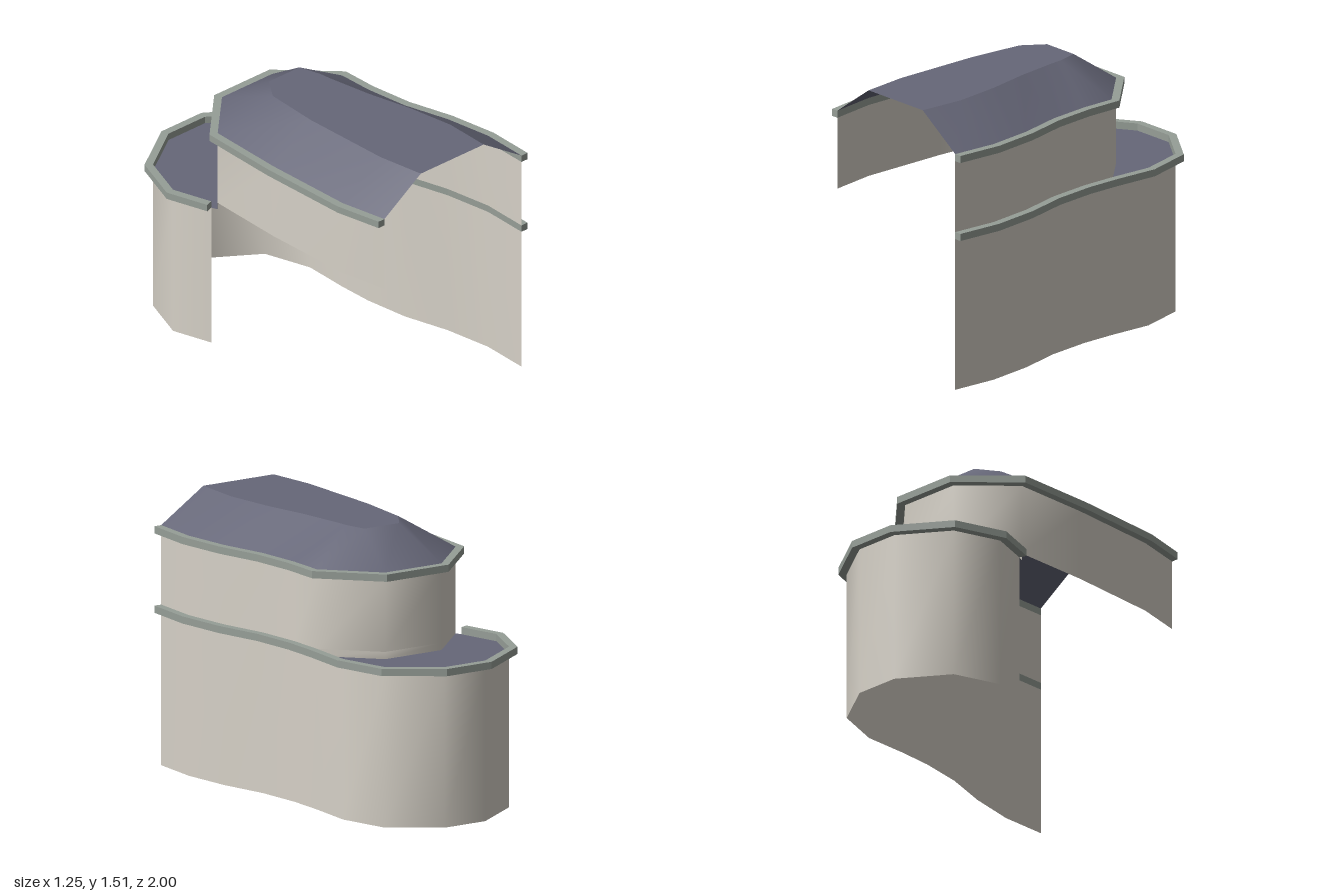
import * as THREE from 'three';

const wallMat = new THREE.MeshStandardMaterial({ color: 0xd6d1c7, side: THREE.DoubleSide });
const roofMat = new THREE.MeshStandardMaterial({ color: 0x666778, side: THREE.DoubleSide });
const trimMat = new THREE.MeshStandardMaterial({ color: 0x969e97 });

// Plan outlines as [x, z], running from the front of the +x side round the back
const side = [[0.58, 1], [0.58, 0.73], [0.53, 0.46], [0.45, 0.2], [0.41, -0.05]];
const upperBack = [[0.4, -0.25], [0.13, -0.51], [-0.23, -0.51], [-0.49, -0.25]];
const upperLeft = [[-0.49, 0.2], [-0.46, 0.73], [-0.4, 1]];
const upper = [...side, ...upperBack, ...upperLeft];
const lowerBack = [[0.4, -0.25], [0.4, -0.51], [0.31, -0.775], [0.04, -0.955],
  [-0.22, -0.955], [-0.49, -0.775], [-0.58, -0.51], [-0.505, -0.285]];
const lower = [...side, ...lowerBack];
const plateau = [[0.31, 1], [0.31, 0.73], [0.26, 0.46], [0.19, 0.2], [0.14, -0.05],
  [0.13, -0.12], [0.09, -0.245], [-0.13, -0.245], [-0.21, -0.12], [-0.22, 0.2], [-0.19, 0.73], [-0.14, 1]];

const lift = (path, y) => path.map(([x, z]) => [x, y, z]);

function geometry(points, index) {
  const g = new THREE.BufferGeometry();
  g.setAttribute('position', new THREE.Float32BufferAttribute(points.flat(), 3));
  g.setIndex(index);
  return g;
}

// Smooth ribbon between two rows of points
function ribbon(lo, hi) {
  const n = lo.length, index = [];
  for (let i = 0; i < n - 1; i++) {
    index.push(i, i + 1, n + i + 1, i, n + i + 1, n + i);
  }
  const g = geometry([...lo, ...hi], index);
  g.computeVertexNormals();
  return g;
}

// Mitred outward offset of an open path, cut flush at the front
function offset(path, w) {
  const normals = path.slice(1).map(([x, z], i) => {
    const d = new THREE.Vector2(x - path[i][0], z - path[i][1]).normalize();
    return new THREE.Vector2(-d.y, d.x);
  });
  return path.map(([x, z], i) => {
    const a = normals[Math.max(i - 1, 0)], b = normals[Math.min(i, normals.length - 1)];
    const m = a.clone().add(b).multiplyScalar(w / (1 + a.dot(b)));
    return [x + m.x, Math.min(1, z + m.y)];
  });
}

// Square-edged moulding following a path
function moulding(path, y0, y1) {
  const out = offset(path, 0.043), n = path.length;
  const rows = [lift(out, y0), lift(out, y1), lift(path, y1), lift(path, y0)];
  const index = [];
  for (let r = 0; r < 4; r++) {
    const a = r * n, b = ((r + 1) % 4) * n;
    for (let i = 0; i < n - 1; i++) index.push(a + i, a + i + 1, b + i + 1, a + i, b + i + 1, b + i);
  }
  const e = n - 1;
  index.push(0, n, 2 * n, 0, 2 * n, 3 * n);
  index.push(e, 2 * n + e, n + e, e, 3 * n + e, 2 * n + e);
  const g = geometry(rows.flat(), index).toNonIndexed();
  g.computeVertexNormals();
  return g;
}

// Flat horizontal panel
function panel(outline, y) {
  const shape = new THREE.Shape(outline.map(([x, z]) => new THREE.Vector2(x, -z)));
  return new THREE.ShapeGeometry(shape).rotateX(-Math.PI / 2).translate(0, y, 0);
}

export function createModel() {
  const model = new THREE.Group();
  const add = (name, geo, mat) => {
    const mesh = new THREE.Mesh(geo, mat);
    mesh.name = name;
    model.add(mesh);
  };

  // Lower storey with its flat roof behind the upper storey
  add('lowerWall', ribbon(lift(lower, 0), lift(lower, 0.85)), wallMat);
  add('lowerTrim', moulding(lower, 0.85, 0.89), trimMat);
  add('lowerRoof', panel([...lowerBack, ...upperBack.slice(1).reverse()], 0.85), roofMat);

  // Upper storey, its back wall reaching down to the flat roof
  add('upperWall', ribbon(lift(upper, 0.89), lift(upper, 1.29)), wallMat);
  add('upperWallBase', ribbon(lift(upperBack, 0.85), lift(upperBack, 0.89)), wallMat);
  add('upperTrim', moulding(upper, 1.29, 1.33), trimMat);

  // Hipped roof with a flat top
  add('roofSlope', ribbon(lift(upper, 1.33), lift(plateau, 1.51)), roofMat);
  add('roofTop', panel(plateau, 1.51), roofMat);

  return model;
}
